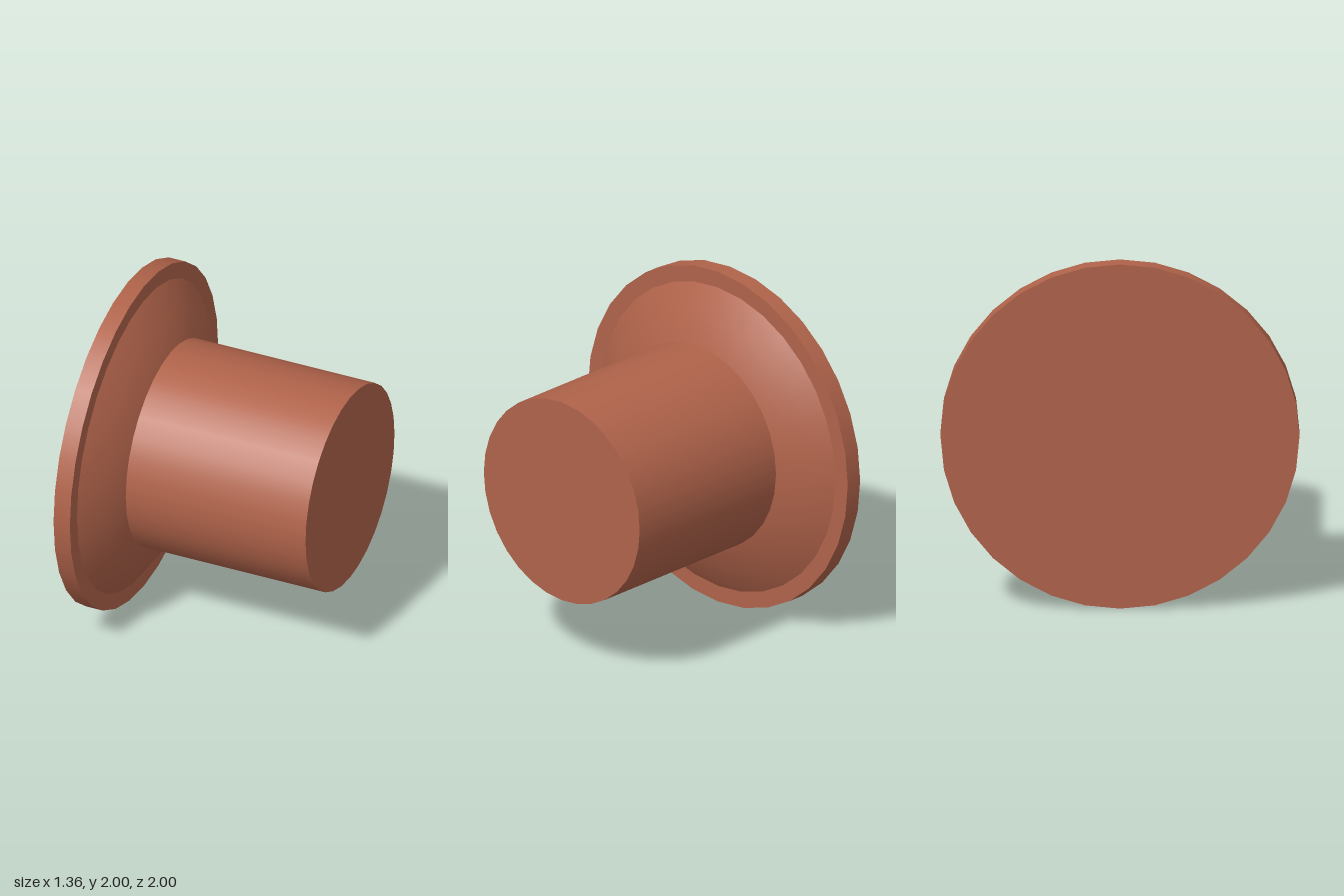
import * as THREE from 'three';

const SIDES = 32;
const material = new THREE.MeshStandardMaterial({ color: 0xb0634a });

// Surface of revolution about the x axis; profile points are [x, radius], from -x to +x.
function turned(name, profile) {
  const points = profile.map(([x, r]) => new THREE.Vector2(r, x));
  const geometry = new THREE.LatheGeometry(points, SIDES);
  geometry.rotateZ(-Math.PI / 2);
  const mesh = new THREE.Mesh(geometry, material);
  mesh.name = name;
  return mesh;
}

export function createModel() {
  const model = new THREE.Group();
  model.name = 'flangedWheel';

  const wheel = new THREE.Group();
  wheel.name = 'wheel';
  wheel.position.y = 1;
  model.add(wheel);

  // Each surface is its own strip, so the edges between them stay sharp.
  wheel.add(
    turned('flangeFace', [[-0.68, 0], [-0.68, 1]]),
    turned('flangeRim', [[-0.68, 1], [-0.58, 1]]),
    turned('flangeShoulder', [[-0.58, 1], [-0.58, 0.905]]),
    // Slightly bulging cone between flange and tread
    turned('flangeCone', [[-0.58, 0.905], [-0.48, 0.755], [-0.42, 0.6]]),
    turned('tread', [[-0.42, 0.6], [0.68, 0.6]]),
    turned('treadEnd', [[0.68, 0.6], [0.68, 0]])
  );

  return model;
}
